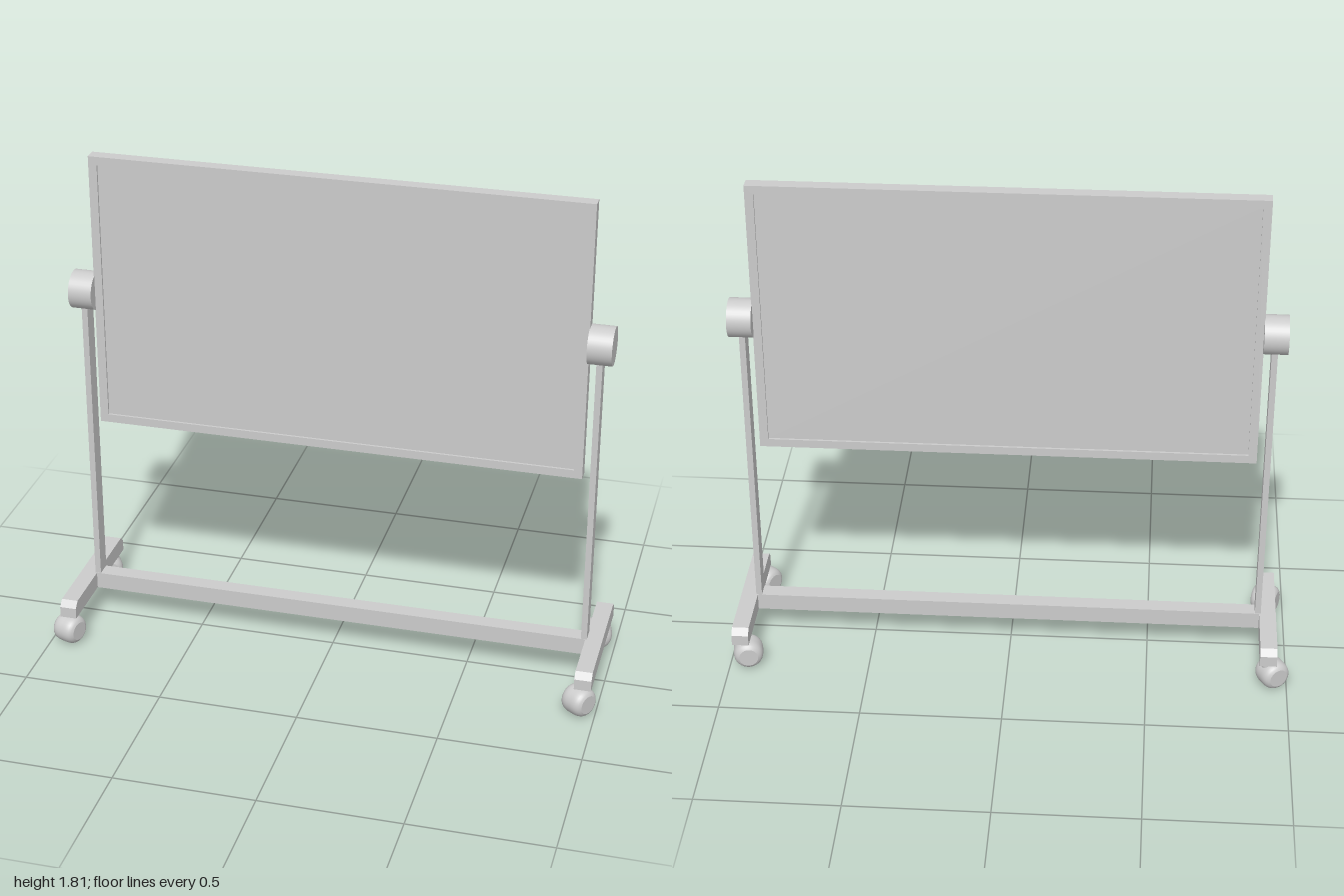
import * as THREE from 'three';

const CX = 0.012;   // centre line of the stand
const CZ = -0.016;
const material = new THREE.MeshStandardMaterial({ color: 0xcccccc });

function add(parent, name, geometry, x, y, z) {
  const mesh = new THREE.Mesh(geometry, material);
  mesh.name = name;
  mesh.position.set(x, y, z);
  parent.add(mesh);
  return mesh;
}

// Upright rectangle extruded along z, with a rectangular opening
function frameGeometry(w, h, border, depth) {
  const rect = (T, a, b) => {
    const s = new T();
    s.moveTo(-a, -b).lineTo(a, -b).lineTo(a, b).lineTo(-a, b).closePath();
    return s;
  };
  const shape = rect(THREE.Shape, w / 2, h / 2);
  shape.holes.push(rect(THREE.Path, w / 2 - border, h / 2 - border));
  return new THREE.ExtrudeGeometry(shape, { depth, bevelEnabled: false }).translate(0, 0, -depth / 2);
}

// Foot bar running along z, with its upper end corners cut off
function footGeometry(length, height, width) {
  const l = length / 2, h = height / 2, c = 0.022;
  const shape = new THREE.Shape();
  shape.moveTo(-l, -h).lineTo(l, -h).lineTo(l, h - c).lineTo(l - c, h)
    .lineTo(-l + c, h).lineTo(-l, h - c).closePath();
  return new THREE.ExtrudeGeometry(shape, { depth: width, bevelEnabled: false })
    .translate(0, 0, -width / 2).rotateY(Math.PI / 2);
}

// Barrel-shaped caster wheel with rounded rims, axis along x
function wheelGeometry() {
  const half = 0.046, cap = 0.034, r = 0.053;
  const rim = new THREE.CubicBezierCurve(
    new THREE.Vector2(cap, -half), new THREE.Vector2(r + 0.002, -half + 0.008),
    new THREE.Vector2(r, -0.015), new THREE.Vector2(r, 0)).getPoints(8);
  const mirrored = rim.slice(0, -1).reverse().map(p => new THREE.Vector2(p.x, -p.y));
  return new THREE.LatheGeometry([...rim, ...mirrored], 32).rotateZ(Math.PI / 2);
}

// Caster hanging from (x, z); the wheel trails along its local +z
function caster(name, x, z, angle) {
  const group = new THREE.Group();
  group.name = name;
  group.position.set(x, 0, z);
  group.rotation.y = angle;
  add(group, 'casterStem', new THREE.CylinderGeometry(0.02, 0.02, 0.06, 20), 0, 0.085, 0);
  add(group, 'casterWheel', wheelGeometry(), 0, 0.053, 0.022);
  for (const s of [-1, 1]) {
    const cap = add(group, 'wheelCap', new THREE.CircleGeometry(0.034, 32), s * 0.046, 0.053, 0.022);
    cap.rotation.y = s * Math.PI / 2;
  }
  return group;
}

export function createModel() {
  const model = new THREE.Group();
  model.name = 'mobileBoard';

  // Writing board: frame around a panel recessed on both sides
  const board = new THREE.Group();
  board.name = 'board';
  board.position.set(CX, 1.305, CZ);
  add(board, 'boardFrame', frameGeometry(1.738, 1.005, 0.03, 0.046), 0, 0, 0);
  add(board, 'boardPanel', new THREE.BoxGeometry(1.69, 0.957, 0.03), 0, 0, 0);
  model.add(board);

  // Cross beam between the feet
  add(model, 'crossBeam', new THREE.BoxGeometry(1.826, 0.062, 0.058), CX, 0.138, CZ);

  // Post, pivot knob and foot on each side
  for (const [side, s] of [['left', 1], ['right', -1]]) {
    add(model, side + 'Post', new THREE.BoxGeometry(0.021, 1.13, 0.058), CX + s * 0.907, 0.735, CZ);
    const knob = add(model, side + 'Knob', new THREE.CylinderGeometry(0.068, 0.068, 0.084, 40),
      CX + s * 0.909, 1.302, CZ);
    knob.rotation.z = Math.PI / 2;
    add(model, side + 'Foot', footGeometry(0.518, 0.062, 0.06), CX + s * 0.942, 0.138, CZ);
  }

  // Casters, each swivelled differently
  model.add(caster('leftFrontCaster', 0.953, 0.203, -0.6));
  model.add(caster('leftBackCaster', 0.956, -0.235, -1.4));
  model.add(caster('rightFrontCaster', -0.927, 0.203, -0.35));
  model.add(caster('rightBackCaster', -0.928, -0.243, -1.05));

  return model;
}
